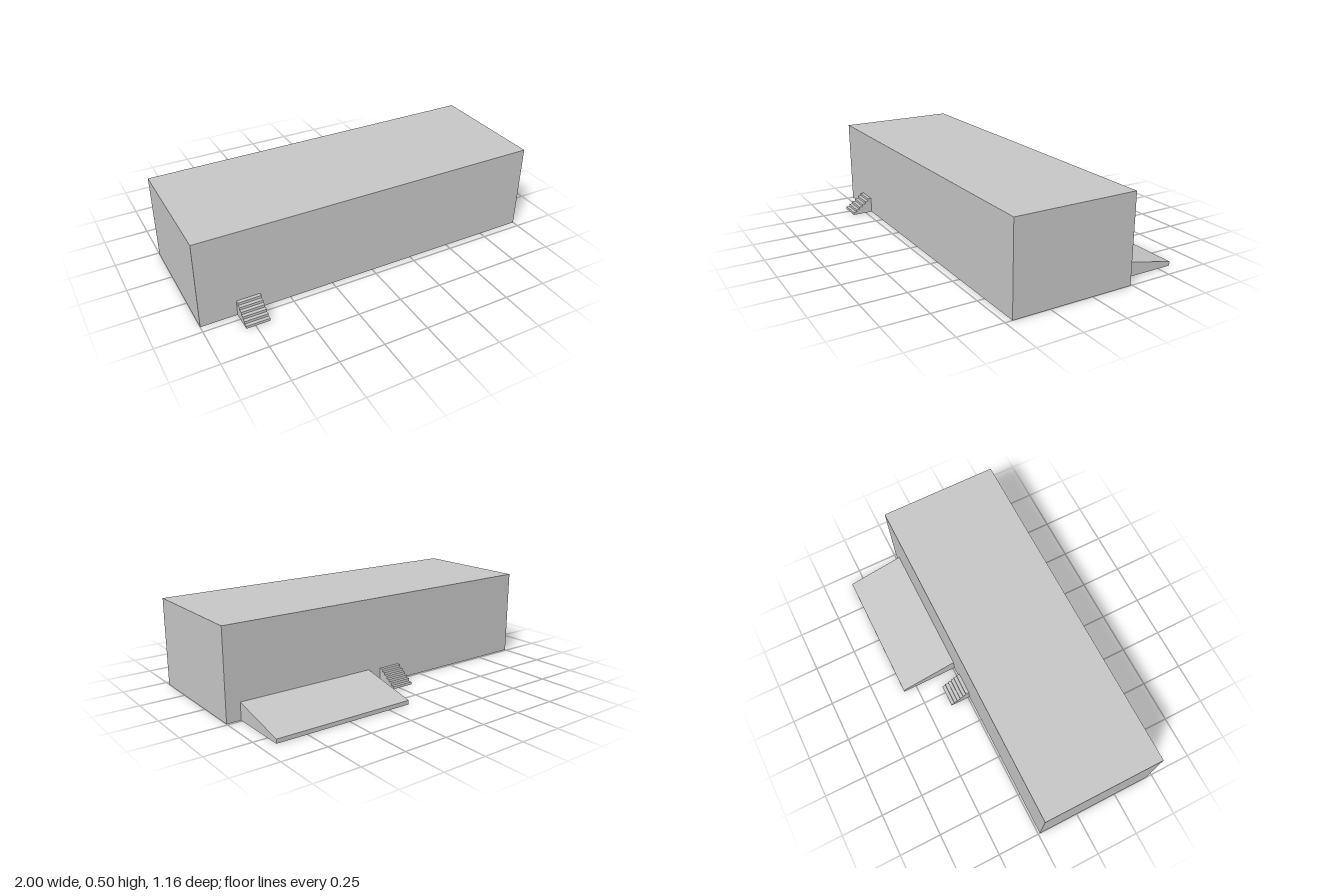
import * as THREE from 'three';

const FRONT = 0.46, BACK = -0.24, HEIGHT = 0.5;

export function createModel() {
  const model = new THREE.Group();
  const grey = new THREE.MeshStandardMaterial({ color: 0xc6c6c6, side: THREE.DoubleSide });
  grey.name = 'plain grey';

  const add = (name, geometry, x = 0, y = 0, z = 0) => {
    const mesh = new THREE.Mesh(geometry, grey);
    mesh.name = name;
    mesh.position.set(x, y, z);
    model.add(mesh);
  };

  // Open-bottomed hollow form: a [z, y] profile swept from x0 to x1, with closed ends.
  // The profile runs from front to back; corner closes the end panels at the wall foot.
  const hollow = (name, x0, x1, profile, corner) => {
    const positions = [];
    for (let i = 0; i < profile.length - 1; i++) {
      const [pz, py] = profile[i], [qz, qy] = profile[i + 1];
      positions.push(x0, py, pz, x1, py, pz, x1, qy, qz, x0, py, pz, x1, qy, qz, x0, qy, qz);
    }
    const skin = new THREE.BufferGeometry();
    skin.setAttribute('position', new THREE.Float32BufferAttribute(positions, 3));
    skin.computeVertexNormals();
    add(name, skin);

    const outline = corner ? [...profile, corner] : profile;
    for (const [side, x] of [[-1, x0], [1, x1]]) {
      const shape = new THREE.Shape(outline.map(([z, y]) => new THREE.Vector2(-side * z, y)));
      add(name + (side > 0 ? 'LeftEnd' : 'RightEnd'),
        new THREE.ShapeGeometry(shape).rotateY(side * Math.PI / 2), x);
    }
  };

  // Building shell, open underneath
  hollow('buildingShell', -1, 1, [[FRONT, 0], [FRONT, HEIGHT], [BACK, HEIGHT], [BACK, 0]]);

  // Ceiling below the roof
  add('ceiling', new THREE.PlaneGeometry(1.998, 0.698).rotateX(Math.PI / 2), 0, 0.455, 0.11);

  // Loading ramp at the back
  hollow('loadingRamp', 0.12, 0.92, [[BACK, 0.097], [-0.58, 0.023], [-0.58, 0]], [BACK, 0]);

  // Six-step flights, each rising to its wall
  const steps = 6, rise = 0.09 / steps, run = 0.12 / steps;
  const flight = (wall, direction) => {
    const points = [];
    for (let i = 0; i < steps; i++) {
      const z = wall + direction * (0.12 - i * run);
      points.push([z, i * rise], [z, (i + 1) * rise]);
    }
    points.push([wall, steps * rise]);
    return direction > 0 ? points : points.reverse();
  };
  hollow('frontSteps', -0.8, -0.67, flight(FRONT, 1), [FRONT, 0]);
  hollow('backSteps', -0.09, 0.04, flight(BACK, -1), [BACK, 0]);

  // Windows and doors standing proud of the inner wall faces
  const frame = (name, x, y, z, w, h) => add(name, new THREE.BoxGeometry(w, h, 0.018), x, y, z);
  const inFront = FRONT - 0.01, inBack = BACK + 0.01;
  for (const x of [0.725, 0.425, 0.125]) frame('frontWindow', x, 0.28, inFront, 0.135, 0.155);
  frame('frontDoor', -0.745, 0.23, inFront, 0.13, 0.26);
  frame('backDoor', -0.025, 0.23, inBack, 0.13, 0.26);

  return model;
}
